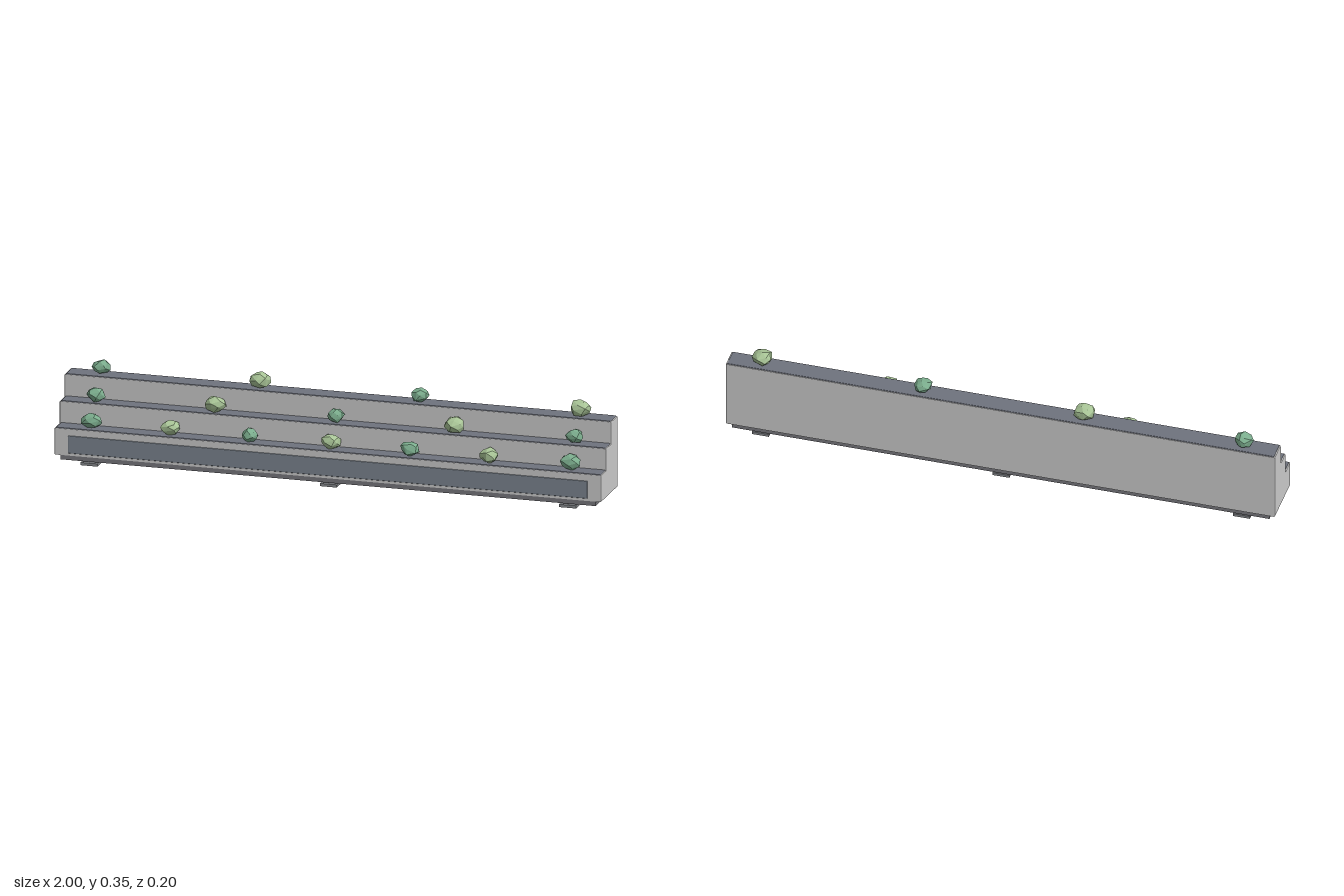
import * as THREE from 'three';
import { ConvexGeometry } from 'three/addons/geometries/ConvexGeometry.js';
import { RoundedBoxGeometry } from 'three/addons/geometries/RoundedBoxGeometry.js';

const mat = (color, flatShading = false) => new THREE.MeshStandardMaterial({ color, flatShading });

// Small seeded generator for the irregular plants
function seeded(seed) {
  let s = seed * 7919 + 17;
  return () => (s = (s * 16807) % 2147483647) / 2147483647;
}

// Faceted clump: convex hull of jittered points spread over a sphere
function clumpGeometry(seed, sx, sy, sz) {
  const rnd = seeded(seed);
  for (let i = 0; i < 5; i++) rnd();
  const points = [], n = 24, turn = rnd() * 6;
  for (let i = 0; i < n; i++) {
    const y = 1 - (2 * (i + 0.5)) / n;
    const r = Math.sqrt(1 - y * y), a = i * 2.39996 + turn + rnd() * 0.4;
    const k = 0.86 + rnd() * 0.24;
    points.push(new THREE.Vector3(Math.cos(a) * r * k * sx, y * k * sy, Math.sin(a) * r * k * sz));
  }
  return new ConvexGeometry(points);
}

export function createModel() {
  const group = new THREE.Group();
  const grey = mat(0xcccccc), soilMat = mat(0x6f737e), panelMat = mat(0x7c8590);
  const baseMat = mat(0x78787e), footMat = mat(0x85888c);
  const light = mat(0xa9c597, true), dark = mat(0x7cae8e, true);

  const add = (name, geometry, material, x, y, z) => {
    const mesh = new THREE.Mesh(geometry, material);
    mesh.name = name;
    mesh.position.set(x, y, z);
    group.add(mesh);
    return mesh;
  };

  // Stepped body: side profile (z, y) extruded along x with a small bevel
  const b = 0.004;
  const profile = [[-0.1, 0.033], [0.098, 0.033], [0.098, 0.13], [0.037, 0.13],
    [0.037, 0.21], [-0.023, 0.21], [-0.023, 0.291], [-0.1, 0.291]];
  const shape = new THREE.Shape(profile.map(([z, y]) => new THREE.Vector2(-z, y)));
  const bodyGeo = new THREE.ExtrudeGeometry(shape, {
    depth: 2 - 2 * b, bevelEnabled: true, bevelThickness: b, bevelSize: b, bevelOffset: -b, bevelSegments: 2,
  });
  bodyGeo.translate(0, 0, -1 + b);
  bodyGeo.rotateY(Math.PI / 2);
  add('steppedBody', bodyGeo, grey, 0, 0, 0);

  // Planting strips on the three steps
  const tiers = [
    { z0: 0.096, z1: 0.032, y: 0.133 },
    { z0: 0.035, z1: -0.028, y: 0.213 },
    { z0: -0.025, z1: -0.098, y: 0.294 },
  ];
  tiers.forEach(({ z0, z1, y }, i) =>
    add(`stepStrip${i + 1}`, new RoundedBoxGeometry(1.99, 0.008, z0 - z1, 2, 0.003),
      soilMat, 0, y - 0.004, (z0 + z1) / 2));

  // Front inlay panel and recessed base
  add('frontPanel', new RoundedBoxGeometry(1.9, 0.064, 0.008, 2, 0.003), panelMat, 0, 0.074, 0.098);
  add('basePlinth', new THREE.BoxGeometry(1.956, 0.018, 0.189), baseMat, 0, 0.025, 0);

  // Levelling feet: a stem on a flat pad
  for (const x of [-0.875, 0, 0.875]) for (const z of [-0.07, 0.07]) {
    add('footPad', new THREE.BoxGeometry(0.062, 0.01, 0.044), footMat, x, 0.005, z);
    add('footStem', new THREE.CylinderGeometry(0.008, 0.008, 0.01, 12), footMat, x, 0.013, z);
  }

  // Plants per step: [x, half width, half height, is light]
  const rows = [
    { z: 0.065, y: 0.132, depth: 0.032, plants: [[-0.875, 0.039, 0.028, 0], [-0.585, 0.038, 0.028, 1],
      [-0.295, 0.032, 0.026, 0], [0, 0.036, 0.028, 1], [0.29, 0.037, 0.028, 0], [0.58, 0.036, 0.028, 1],
      [0.875, 0.041, 0.03, 0]] },
    { z: 0.006, y: 0.212, depth: 0.033, plants: [[-0.875, 0.033, 0.026, 0], [-0.44, 0.04, 0.03, 1],
      [0, 0.031, 0.026, 0], [0.435, 0.037, 0.031, 1], [0.875, 0.032, 0.026, 0]] },
    { z: -0.062, y: 0.293, depth: 0.037, plants: [[-0.875, 0.033, 0.027, 0], [-0.295, 0.039, 0.03, 1],
      [0.29, 0.031, 0.026, 0], [0.875, 0.039, 0.03, 1]] },
  ];
  let seed = 1;
  for (const { z, y, depth, plants } of rows)
    for (const [x, w, h, isLight] of plants)
      add('plantClump', clumpGeometry(seed++, w, h, isLight ? depth : depth * 0.92),
        isLight ? light : dark, x, y + h * 0.93, z);

  return group;
}
